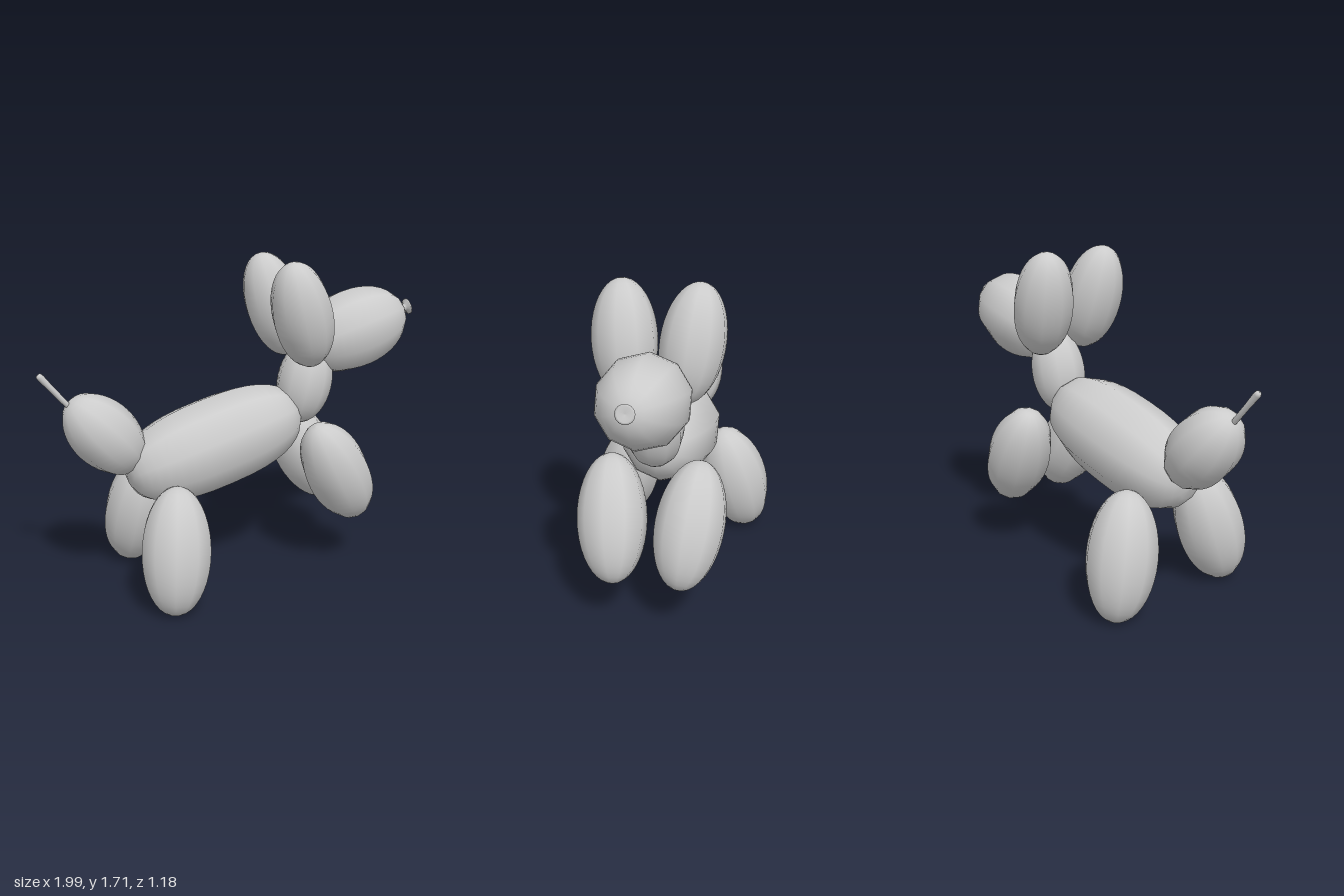
import * as THREE from 'three';

const material = new THREE.MeshStandardMaterial({ color: 0xcccccc });
const UP = new THREE.Vector3(0, 1, 0);

// The animal faces mostly +x, turned a little towards -z
const YAW = THREE.MathUtils.degToRad(20);
const FORWARD = new THREE.Vector3(Math.cos(YAW), 0, -Math.sin(YAW));
const SIDE = new THREE.Vector3(Math.sin(YAW), 0, Math.cos(YAW));

// Direction from amounts along forward, up and sideways
const direction = (f, u, s) => new THREE.Vector3()
  .addScaledVector(FORWARD, f).addScaledVector(UP, u).addScaledVector(SIDE, s).normalize();

// Turned shape whose own y axis is pointed along dir
function turned(name, profile, position, dir, sides = 10) {
  const points = profile.map(([r, y]) => new THREE.Vector2(r, y));
  const mesh = new THREE.Mesh(new THREE.LatheGeometry(points, sides), material);
  mesh.name = name;
  mesh.position.set(...position);
  mesh.quaternion.setFromUnitVectors(UP, dir);
  return mesh;
}

// Inflated bubble: half length a, radius b; fullness above 2 makes blunter ends
function bubble(name, position, dir, a, b, fullness = 2) {
  const profile = [];
  const steps = 20;
  for (let i = 0; i <= steps; i++) {
    const t = -Math.PI / 2 + (Math.PI * i) / steps;
    const c = i === 0 || i === steps ? 0 : Math.cos(t);
    const s = Math.sin(t);
    profile.push([b * c ** (2 / fullness), a * Math.sign(s) * Math.abs(s) ** (2 / fullness)]);
  }
  return turned(name, profile, position, dir);
}

export function createModel() {
  const group = new THREE.Group();
  group.name = 'balloonDog';

  // Body, neck and head
  const headDir = direction(0.963, 0.27, 0);
  group.add(
    bubble('body', [-0.125, 0.765, -0.005], direction(0.966, 0.26, 0), 0.5, 0.245, 2.5),
    bubble('neck', [0.375, 1.04, -0.185], direction(0.22, 0.97, 0), 0.23, 0.15),
    bubble('head', [0.64, 1.3, -0.292], headDir, 0.33, 0.22),
  );

  // Knotted nozzle on the nose
  group.add(turned('nozzle', [
    [0, -0.03], [0.025, -0.03], [0.018, 0.015], [0.022, 0.028],
    [0.043, 0.036], [0.045, 0.044], [0.035, 0.048], [0, 0.042],
  ], [0.935, 1.388, -0.392], headDir, 14));

  // Ears and legs in pairs, mirrored across the body's own middle plane
  const pairs = [
    { name: 'Ear', mid: [0.278, 1.44, -0.155], spread: 0.165, dir: [-0.28, 0.95, 0.1], a: 0.29, b: 0.16 },
    { name: 'FrontLeg', mid: [0.478, 0.57, -0.228], spread: 0.195, dir: [-0.48, 0.87, 0.1], a: 0.324, b: 0.175 },
    { name: 'BackLeg', mid: [-0.44, 0.325, 0.108], spread: 0.31, dir: [0.13, 0.96, -0.25], a: 0.328, b: 0.182 },
  ];
  for (const { name, mid, spread, dir, a, b } of pairs) {
    for (const sign of [1, -1]) {
      const p = new THREE.Vector3(...mid).addScaledVector(SIDE, sign * spread);
      const d = direction(dir[0], dir[1], sign * dir[2]);
      group.add(bubble((sign > 0 ? 'near' : 'far') + name, p.toArray(), d, a, b));
    }
  }

  // Tail bubble and its thin uninflated end
  group.add(bubble('tail', [-0.685, 0.88, 0.178], direction(-0.66, 0.75, 0), 0.257, 0.171));
  const start = new THREE.Vector3(-0.83, 1.02, 0.23);
  const end = new THREE.Vector3(-0.985, 1.222, 0.287);
  const length = start.distanceTo(end);
  group.add(turned('tailTip', [
    [0, 0], [0.014, 0], [0.015, length * 0.6], [0.018, length - 0.015], [0.014, length], [0, length + 0.004],
  ], start.toArray(), end.clone().sub(start).normalize(), 10));

  return group;
}
